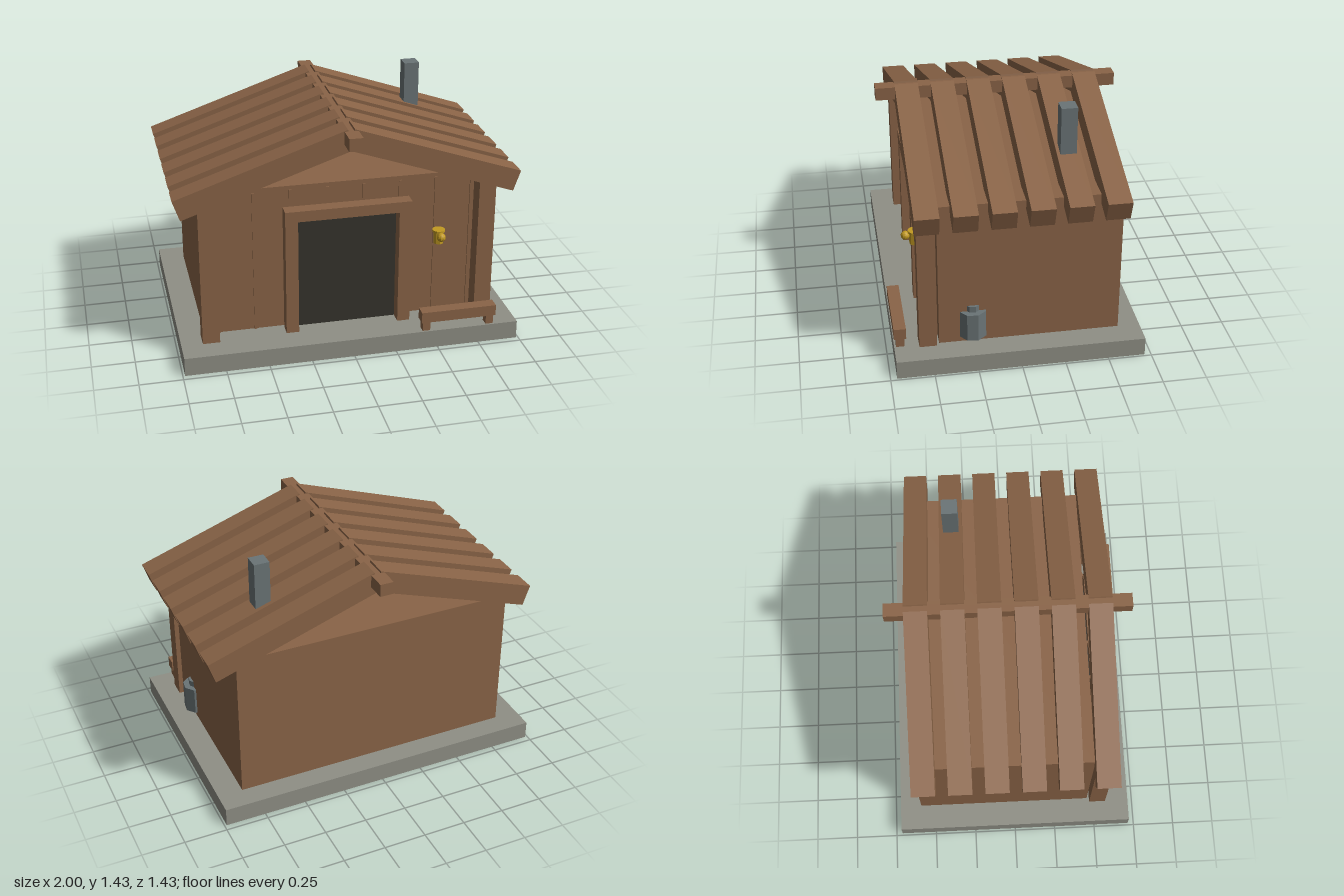
import * as THREE from 'three';

export function createModel() {
  const model = new THREE.Group();
  model.name = 'cabin';
  const mat = (name, color, flatShading = false) => {
    const m = new THREE.MeshStandardMaterial({ color, flatShading });
    m.name = name;
    return m;
  };
  const wood = mat('wood', 0x8a6447);
  const stone = mat('stone', 0x8f8f85);
  const dark = mat('dark doorway', 0x36342d);
  const metal = mat('grey metal', 0x6a7476, true);
  const brass = mat('brass', 0xc29a22, true);

  const add = (name, geo, material, x = 0, y = 0, z = 0) => {
    const mesh = new THREE.Mesh(geo, material);
    mesh.name = name;
    mesh.position.set(x, y, z);
    model.add(mesh);
    return mesh;
  };
  // Box given by its lower and upper limits on each axis
  const box = (name, material, x0, x1, y0, y1, z0, z1) =>
    add(name, new THREE.BoxGeometry(x1 - x0, y1 - y0, z1 - z0), material,
      (x0 + x1) / 2, (y0 + y1) / 2, (z0 + z1) / 2);

  // Foundation and walls
  box('foundation', stone, -0.987, 0.987, 0, 0.11, -0.713, 0.713);
  box('walls', wood, -0.84, 0.84, 0.11, 1.0, -0.585, 0.456);

  // Thin battens across the front wall
  for (let i = 0; i < 8; i++) {
    const x = -0.75 + i * 0.2143;
    box('batten', wood, x - 0.008, x + 0.008, 0.11, 0.976, 0.45, 0.464);
  }

  // Front corner posts and door frame
  for (const s of [-1, 1]) {
    box('cornerPost', wood, s * 0.813 - 0.05, s * 0.813 + 0.05, 0.11, 0.97, 0.471, 0.571);
    box('doorPost', wood, s * 0.333 - 0.037, s * 0.333 + 0.037, 0.11, 0.815, 0.475, 0.553);
  }
  box('lintel', wood, -0.37, 0.37, 0.815, 0.88, 0.475, 0.555);
  box('door', dark, -0.296, 0.296, 0.11, 0.79, 0.45, 0.478);

  // Sloping roof planks with gaps, mirrored about the ridge
  const slope = Math.atan2(0.335, 0.98), length = 1.036, thick = 0.127;
  for (const s of [-1, 1]) {
    for (let i = 0; i < 6; i++) {
      const geo = new THREE.BoxGeometry(length, thick, 0.136);
      const plank = add('roofPlank', geo, wood,
        s * (0.51 - Math.sin(slope) * thick / 2),
        1.1925 - Math.cos(slope) * thick / 2,
        (i - 2.5) * 0.2088);
      plank.rotation.z = -s * slope;
    }
  }
  box('ridgeBeam', wood, -0.04, 0.04, 1.275, 1.35, -0.703, 0.703);
  box('chimney', metal, 0.54, 0.631, 1.013, 1.43, -0.356, -0.264);

  // Bench by the door
  box('benchSeat', wood, 0.4, 0.85, 0.168, 0.234, 0.643, 0.713);
  for (const x of [0.41, 0.795])
    box('benchLeg', wood, x, x + 0.045, 0.11, 0.168, 0.653, 0.702);

  // Metal can against the left wall
  const can = (name, r, y0, y1) => {
    const m = add(name, new THREE.CylinderGeometry(r, r, y1 - y0, 8), metal, 0.812, (y0 + y1) / 2, 0.26);
    m.rotation.y = 0.28;
  };
  can('canBody', 0.083, 0.14, 0.31);
  can('canLid', 0.047, 0.31, 0.346);

  // Brass lantern with a round knob
  add('lanternBody', new THREE.CylinderGeometry(0.03, 0.03, 0.075, 8), brass, 0.533, 0.638, 0.55);
  add('lanternCap', new THREE.CylinderGeometry(0.038, 0.038, 0.012, 12), brass, 0.533, 0.679, 0.55);
  add('lanternKnob', new THREE.SphereGeometry(0.026, 10, 8), brass, 0.533, 0.656, 0.602);

  return model;
}
